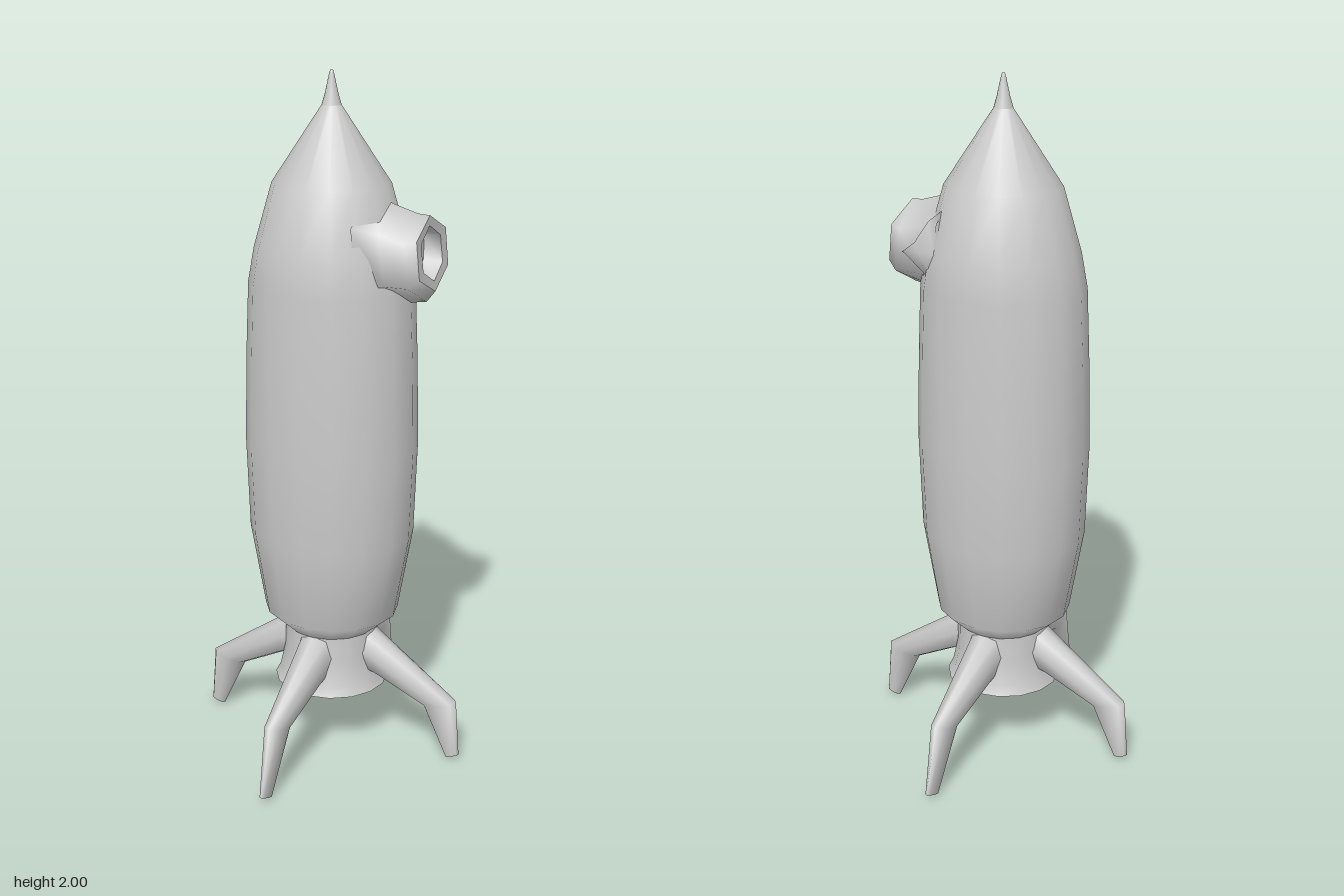
import * as THREE from 'three';

const material = new THREE.MeshStandardMaterial({ color: 0xcccccc, side: THREE.DoubleSide });

// Skin a list of closed rings (arrays of [x, y, z]); a repeated ring gives a sharp edge.
function loft(name, rings) {
  const n = rings[0].length;
  const index = [];
  for (let i = 0; i < rings.length - 1; i++) {
    for (let j = 0; j < n; j++) {
      const a = i * n + j, b = i * n + (j + 1) % n;
      index.push(a, a + n, b, b, a + n, b + n);
    }
  }
  const geometry = new THREE.BufferGeometry();
  geometry.setAttribute('position', new THREE.Float32BufferAttribute(rings.flat(2), 3));
  geometry.setIndex(index);
  geometry.computeVertexNormals();
  const mesh = new THREE.Mesh(geometry, material);
  mesh.name = name;
  return mesh;
}

const around = (n, point) => Array.from({ length: n }, (_, j) => {
  const a = (j / n) * Math.PI * 2;
  return point(Math.cos(a), Math.sin(a));
});

// Horizontal ellipse for hull, nozzle and nose
const level = (y, rx, rz = rx, n = 16) => around(n, (c, s) => [c * rx, y, s * rz]);

// Upright ring spanning a leg from its upper to its lower edge
function legRing([x1, y1, x2, y2, w]) {
  const round = (v) => Math.sign(v) * Math.pow(Math.abs(v), 0.8);
  return around(8, (c, s) => {
    const t = round(c) / 2;
    return [(x1 + x2) / 2 + (x1 - x2) * t, (y1 + y2) / 2 + (y1 - y2) * t, -round(s) * w];
  });
}

function makeLeg(name, sections, turn) {
  const rings = sections.map(legRing);
  const foot = sections[sections.length - 1];
  const mx = (foot[0] + foot[2]) / 2, my = (foot[1] + foot[3]) / 2;
  rings.push(legRing(foot), legRing([mx, my, mx, my, 0]));
  const leg = loft(name, rings);
  leg.rotation.y = turn;
  return leg;
}

export function createModel() {
  const model = new THREE.Group();

  // Oval hull, turning round towards the nose
  model.add(loft('hull', [
    level(0.37, 0.13, 0.125), level(0.43, 0.2, 0.185), level(0.68, 0.245, 0.213),
    level(0.95, 0.254, 0.221), level(1.2, 0.248, 0.218), level(1.42, 0.238, 0.213),
    level(1.52, 0.218, 0.205), level(1.7, 0.165, 0.163), level(1.91, 0.026),
  ]));

  // Nose spike
  model.add(loft('noseTip', [
    level(1.905, 0.028), level(1.94, 0.018), level(1.99, 0.007), level(2.0, 0.004), level(2.0, 0),
  ]));

  // Hollow exhaust nozzle: roof, inner wall, rim, outer wall
  model.add(loft('nozzle', [
    level(0.33, 0), level(0.33, 0.1), level(0.33, 0.1), level(0.2, 0.137), level(0.2, 0.137),
    level(0.2, 0.17, 0.165), level(0.2, 0.17, 0.165), level(0.23, 0.155, 0.15),
    level(0.3, 0.14, 0.135), level(0.39, 0.14, 0.13),
  ]));

  // Legs: [upper x, upper y, lower x, lower y, half width]
  const sideLeg = [
    [0.07, 0.42, 0.1, 0.26, 0.065], [0.13, 0.38, 0.17, 0.23, 0.05],
    [0.405, 0.19, 0.3, 0.165, 0.027], [0.418, 0.018, 0.375, 0.005, 0.012],
  ];
  const frontLeg = [
    [0.07, 0.41, 0.1, 0.25, 0.065], [0.13, 0.38, 0.17, 0.225, 0.05],
    [0.415, 0.222, 0.315, 0.18, 0.028], [0.472, 0.03, 0.412, 0.003, 0.01],
  ];
  model.add(
    makeLeg('leftLeg', sideLeg, 0), makeLeg('rightLeg', sideLeg, Math.PI),
    makeLeg('frontLeg', frontLeg, -Math.PI / 2), makeLeg('backLeg', frontLeg, Math.PI / 2),
  );

  // Six-sided porthole: flared base, collar, rim and recess; lean tilts the face upwards
  const port = (x, cy, ry, rz, lean = 0) =>
    around(6, (c, s) => [x - c * lean, cy + c * ry, -s * rz / 0.866]);
  model.add(loft('porthole', [
    port(0.13, 1.525, 0.17, 0.15, 0.01), port(0.195, 1.52, 0.137, 0.105, 0.015),
    port(0.27, 1.515, 0.12, 0.118, 0.015), port(0.3, 1.53, 0.103, 0.106, 0.01),
    port(0.3, 1.53, 0.103, 0.106, 0.01), port(0.298, 1.53, 0.075, 0.07, 0.008),
    port(0.298, 1.53, 0.075, 0.07, 0.008), port(0.25, 1.53, 0.065, 0.06),
    port(0.25, 1.53, 0.065, 0.06), port(0.25, 1.53, 0, 0),
  ]));

  // Pinched fold in the skin behind the porthole
  const fold = (x, z, h) => around(4, (c, s) => [x - 0.02 * Math.abs(c), 1.53 + c * h, z - s * 0.03]);
  model.add(loft('skinFold', [
    fold(0.13, -0.13, 0.12), fold(0.18, -0.135, 0.08), fold(0.218, -0.145, 0.02),
    fold(0.22, -0.15, 0),
  ]));

  return model;
}
